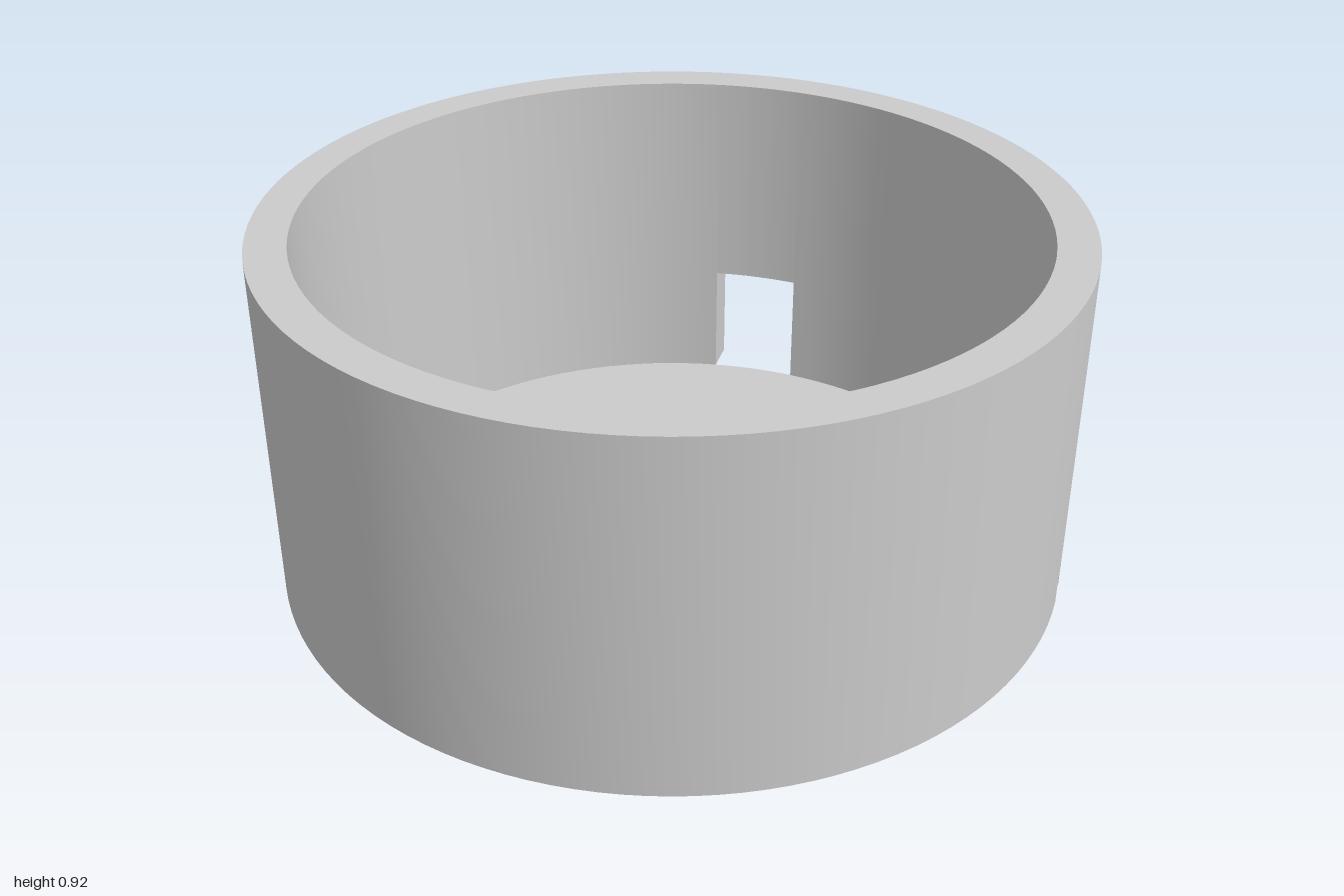
import * as THREE from 'three';
import { toCreasedNormals } from 'three/addons/utils/BufferGeometryUtils.js';

const OUTER = 1, INNER = 0.9, BASE = 0.012, TOP = 0.915;

// Section of the wall inside an opening: s is the sideways offset from the opening's centre line
const cut = (centre, s, bottom) => ({
  outer: centre + Math.asin(s / OUTER),
  inner: centre + Math.asin(s / INNER),
  bottom,
});

// Plain wall sections between two given ones
function plain(a, b) {
  const n = Math.max(1, Math.round((b.outer - a.outer) / (Math.PI / 60)));
  const list = [];
  for (let i = 1; i < n; i++) {
    const t = i / n;
    list.push({
      outer: THREE.MathUtils.lerp(a.outer, b.outer, t),
      inner: THREE.MathUtils.lerp(a.inner, b.inner, t),
      bottom: BASE,
    });
  }
  return list;
}

// Pointed notch on the left side (+x)
function notchSections(centre) {
  const half = 0.0375, spring = 0.05, tip = 0.1, steps = 8;
  const list = [cut(centre, -half, BASE)];
  for (let i = -steps; i <= steps; i++) {
    const rise = 1 - Math.abs(i) / steps;
    const s = Math.sign(i) * half * (1 - Math.pow(rise, 1.7));
    list.push(cut(centre, s, spring + (tip - spring) * rise));
  }
  list.push(cut(centre, half, BASE));
  return list;
}

// Rectangular doorway at the back (-z)
function doorSections(centre) {
  const half = 0.117, height = 0.325, steps = 4;
  const list = [cut(centre, -half, BASE)];
  for (let i = -steps; i <= steps; i++) list.push(cut(centre, (half * i) / steps, height));
  list.push(cut(centre, half, BASE));
  return list;
}

// Closed loop of wall sections, skinned with outer, underside, inner and top faces
function wallGeometry() {
  const notch = notchSections(Math.PI / 2);
  const door = doorSections(Math.PI);
  const end = cut(Math.PI * 2.5, -0.0375, BASE);
  const sections = [
    ...notch, ...plain(notch.at(-1), door[0]),
    ...door, ...plain(door.at(-1), end), end,
  ];
  const at = (r, a, y) => new THREE.Vector3(r * Math.sin(a), y, r * Math.cos(a));
  const rings = sections.map((s) => [
    at(OUTER, s.outer, TOP), at(OUTER, s.outer, s.bottom),
    at(INNER, s.inner, s.bottom), at(INNER, s.inner, TOP),
  ]);
  const positions = [];
  const triangle = (a, b, c) => {
    if (new THREE.Triangle(a, b, c).getArea() < 1e-8) return;
    for (const p of [a, b, c]) positions.push(p.x, p.y, p.z);
  };
  for (let i = 0; i + 1 < rings.length; i++) {
    const p = rings[i], q = rings[i + 1];
    for (let k = 0; k < 4; k++) {
      const m = (k + 1) % 4;
      triangle(p[k], p[m], q[m]);
      triangle(p[k], q[m], q[k]);
    }
  }
  const geometry = new THREE.BufferGeometry();
  geometry.setAttribute('position', new THREE.Float32BufferAttribute(positions, 3));
  return toCreasedNormals(geometry, 0.5);
}

export function createModel() {
  const group = new THREE.Group();
  group.name = 'roundEnclosure';
  const material = new THREE.MeshStandardMaterial({ color: 0xcccccc });

  const wall = new THREE.Mesh(wallGeometry(), material);
  wall.name = 'wall';

  // Thin floor disc, slightly proud below the wall
  const floor = new THREE.Mesh(new THREE.CylinderGeometry(INNER, INNER, BASE, 120), material);
  floor.name = 'floor';
  floor.position.y = BASE / 2;

  group.add(wall, floor);
  return group;
}
